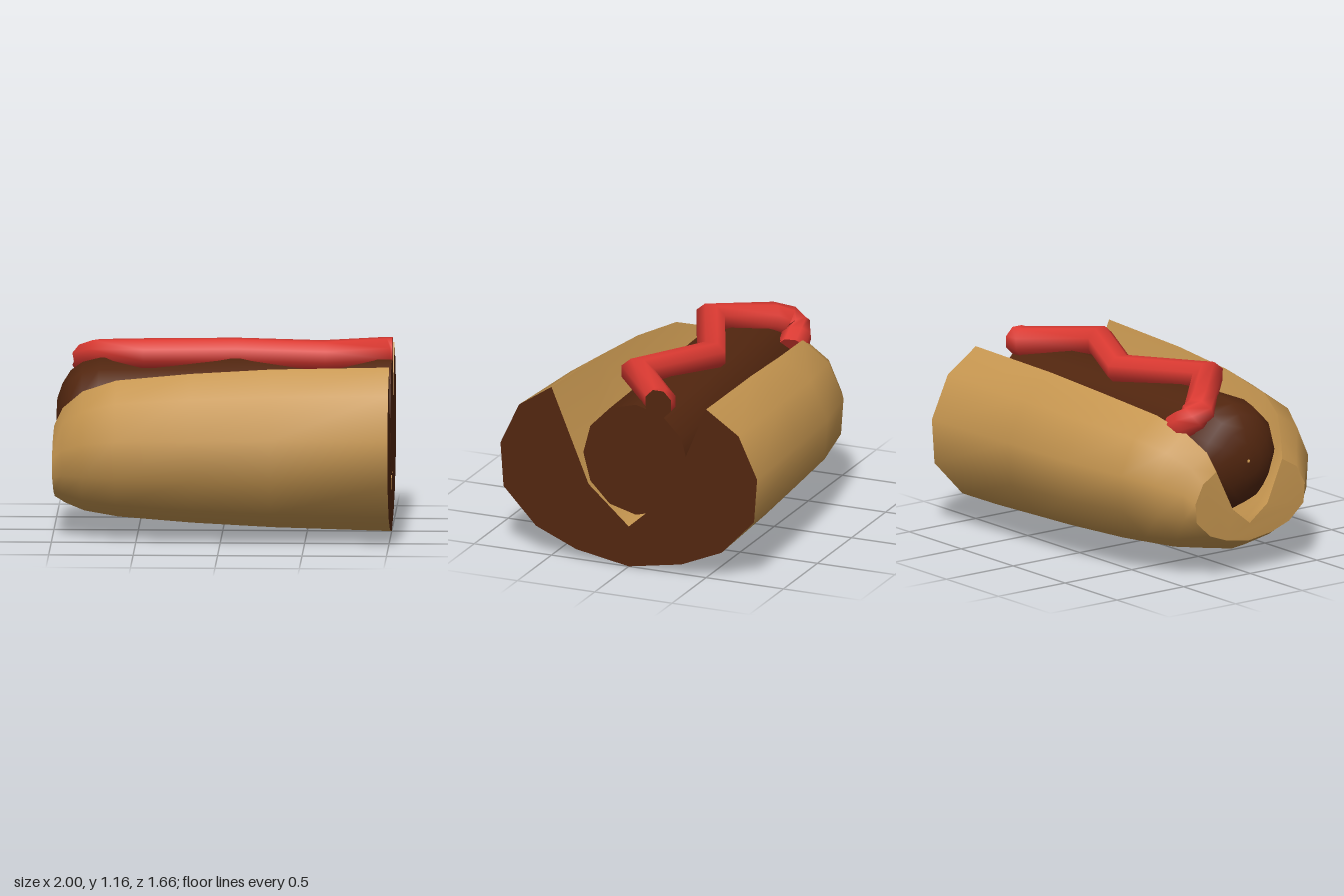
import * as THREE from 'three';

const material = (color) => new THREE.MeshStandardMaterial({ color, side: THREE.DoubleSide });
const crust = material(0xc69650);
const brown = material(0x52260f);
const red = material(0xdc3a32);

// Skin over rings of points; rings run towards +x, points counterclockwise seen from +x
function loft(rings, closed) {
  const n = rings[0].length;
  const index = [];
  for (let i = 0; i < rings.length - 1; i++) {
    for (let j = 0; j < (closed ? n : n - 1); j++) {
      const k = (j + 1) % n;
      const a = i * n + j, b = i * n + k, c = a + n, d = b + n;
      index.push(a, b, c, b, d, c);
    }
  }
  const geometry = new THREE.BufferGeometry().setFromPoints(rings.flat());
  geometry.setIndex(index);
  geometry.computeVertexNormals();
  return geometry;
}

// Flat lid over one ring
function lid(ring, facesRight) {
  const outline = ring.map((p) => new THREE.Vector2(-p.z, p.y));
  const faces = THREE.ShapeUtils.triangulateShape(outline, []);
  const geometry = new THREE.BufferGeometry().setFromPoints(ring);
  geometry.setIndex(faces.flatMap(([a, b, c]) => (facesRight ? [a, b, c] : [a, c, b])));
  geometry.computeVertexNormals();
  return geometry;
}

function part(name, geometry, mat) {
  const mesh = new THREE.Mesh(geometry, mat);
  mesh.name = name;
  return mesh;
}

// Bun: one cross-section, scaled along its length
function makeBun() {
  const half = [[0.5, 1.055], [0.71, 0.915], [0.83, 0.66], [0.81, 0.39], [0.6, 0.17], [0.34, 0.06]];
  const mirror = (list) => list.map(([z, y]) => [-z, y]).reverse();
  const outside = [...half, [0, 0], ...mirror(half)];
  const inside = [[-0.5, 1.055], [-0.26, 0.48], [0, 0.25], [0.26, 0.48], [0.5, 1.055]];
  // x, half width, underside height, lip height
  const stations = [
    [-0.99, 0.41, 0.2, 0.66], [-0.94, 0.46, 0.165, 0.77], [-0.82, 0.575, 0.115, 0.88],
    [-0.62, 0.675, 0.08, 0.955], [-0.18, 0.765, 0.045, 1.005], [0.3, 0.8, 0.02, 1.037],
    [1, 0.83, 0, 1.055],
  ];
  const rings = (profile) => stations.map(([x, width, low, high]) => profile.map(([z, y]) =>
    new THREE.Vector3(x, low + (y / 1.055) * (high - low), (z * width) / 0.83)));
  const outer = rings(outside);
  const inner = rings(inside);
  // The closed end bulges slightly at mid height
  for (const p of [...outer[0], ...inner[0]]) p.x = -1 + 0.2 * (p.y - 0.45) ** 2;

  const whole = (i) => [...outer[i], ...inner[i].slice(1, -1)];
  const group = new THREE.Group();
  group.name = 'bun';
  group.add(
    part('bunCrust', loft(outer, false), crust),
    part('bunSlit', loft(inner, false), crust),
    part('bunEnd', lid(whole(0), false), crust),
    part('bunCutFace', lid(whole(stations.length - 1), true), brown),
  );
  return group;
}

// Sausage: rounded at one end, cut flat at the other
function makeSausage() {
  const profile = [
    [-0.985, 0.01], [-0.98, 0.1], [-0.95, 0.19], [-0.9, 0.27], [-0.83, 0.32], [-0.73, 0.345], [0.2, 0.345], [1, 0.345],
  ];
  const rings = profile.map(([x, r]) => {
    const t = (x + 1) / 2;
    return Array.from({ length: 12 }, (_, j) => {
      const a = (j / 12) * Math.PI * 2;
      return new THREE.Vector3(x, 0.685 - 0.01 * t + r * Math.sin(a), -0.046 * t - 0.985 * r * Math.cos(a));
    });
  });
  const group = new THREE.Group();
  group.name = 'sausage';
  group.add(
    part('sausageSkin', loft(rings, true), brown),
    part('sausageCutFace', lid(rings[rings.length - 1], true), brown),
  );
  return group;
}

// Sauce: a zigzag tube with mitred bends
function makeSauce() {
  const path = [
    [-0.69, 0.87, -0.315], [-0.77, 0.925, -0.305], [-0.81, 0.965, -0.28], [-0.81, 0.995, -0.235],
    [-0.74, 1.03, -0.165], [-0.45, 1.075, 0.11], [0.08, 1.045, -0.13], [0.6, 1.07, 0.12],
    [0.95, 1.045, -0.185], [1, 1.045, -0.19],
  ].map((p) => new THREE.Vector3(...p));
  const up = new THREE.Vector3(0, 1, 0);
  const last = path.length - 1;
  const rings = path.map((p, i) => {
    const before = p.clone().sub(path[Math.max(i - 1, 0)]).normalize();
    const after = path[Math.min(i + 1, last)].clone().sub(p).normalize();
    const along = before.clone().add(after).normalize();
    if (i === last) along.set(1, 0, 0);
    const side = along.clone().cross(up).normalize();
    const rise = side.clone().cross(along);
    const mitre = i === 0 || i === last ? 1 : Math.min(1 / after.dot(along), 1.3);
    return Array.from({ length: 8 }, (_, j) => {
      const a = ((j + 0.5) / 8) * Math.PI * 2;
      return p.clone()
        .addScaledVector(side, -0.09 * mitre * Math.cos(a))
        .addScaledVector(rise, 0.09 * Math.sin(a));
    });
  });
  // Wind every ring the same way as the other lofts
  rings.forEach((ring) => ring.reverse());
  const group = new THREE.Group();
  group.name = 'sauce';
  group.add(
    part('sauceZigzag', loft(rings, true), red),
    part('sauceEnd', lid(rings[0], false), red),
    part('sauceCutFace', lid(rings[last], true), brown),
  );
  return group;
}

export function createModel() {
  const model = new THREE.Group();
  model.name = 'hotDogHalf';
  model.add(makeBun(), makeSausage(), makeSauce());
  return model;
}
